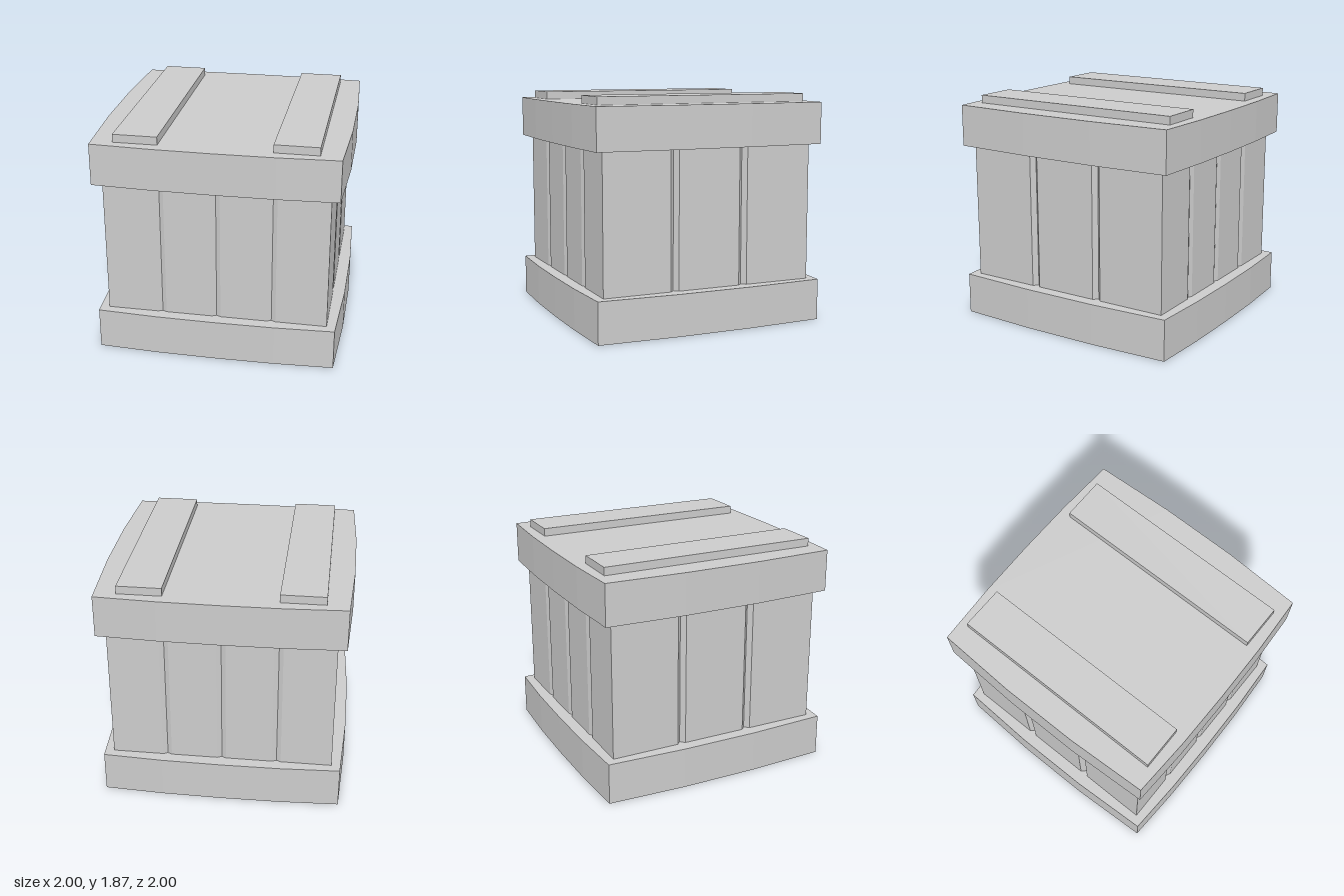
import * as THREE from 'three';

const material = new THREE.MeshStandardMaterial({ color: 0xcccccc, flatShading: true });

// Extrude a plan outline upwards from y0 to y1
function prism(name, points, y0, y1) {
  const shape = new THREE.Shape(points);
  const geometry = new THREE.ExtrudeGeometry(shape, { depth: y1 - y0, bevelEnabled: false });
  geometry.rotateX(-Math.PI / 2).translate(0, y0, 0);
  const mesh = new THREE.Mesh(geometry, material);
  mesh.name = name;
  return mesh;
}

// Walk round four sides; each profile lists [along, outward] from -half to +half
function outline(frontProfile, sideProfile) {
  const points = [];
  for (let i = 0; i < 4; i++) {
    const turn = (i * Math.PI) / 2;
    for (const [along, out] of i % 2 ? sideProfile : frontProfile) {
      points.push(new THREE.Vector2(along, -out).rotateAround(new THREE.Vector2(), turn));
    }
  }
  return points;
}

// One body side: flat boards separated by V grooves
function grooved(seams, depth) {
  const half = 0.9, w = 0.035;
  const profile = [[-half, half]];
  for (const s of seams) profile.push([s - w, half], [s, half - depth], [s + w, half]);
  return profile;
}

export function createModel() {
  const group = new THREE.Group();
  group.name = 'crate';

  // Slightly bulging base and lid slabs
  const slab = outline(
    [[-0.97, 0.97], [-0.485, 0.994], [0, 1], [0.485, 0.994]],
    [[-0.97, 0.97], [-0.32, 1], [0.32, 1]],
  );
  group.add(prism('base', slab, 0, 0.34));
  group.add(prism('lid', slab, 1.465, 1.805));

  // Boarded body: four boards front and back, three on the sides
  const body = outline(grooved([-0.45, 0, 0.45], 0.017), grooved([-0.3, 0.3], 0.035));
  group.add(prism('body', body, 0.34, 1.465));

  // Two battens on the lid
  for (const side of [-1, 1]) {
    const batten = new THREE.Mesh(new THREE.BoxGeometry(0.353, 0.068, 1.8), material);
    batten.position.set(side * 0.6235, 1.836, 0);
    batten.name = side > 0 ? 'leftBatten' : 'rightBatten';
    group.add(batten);
  }
  return group;
}
